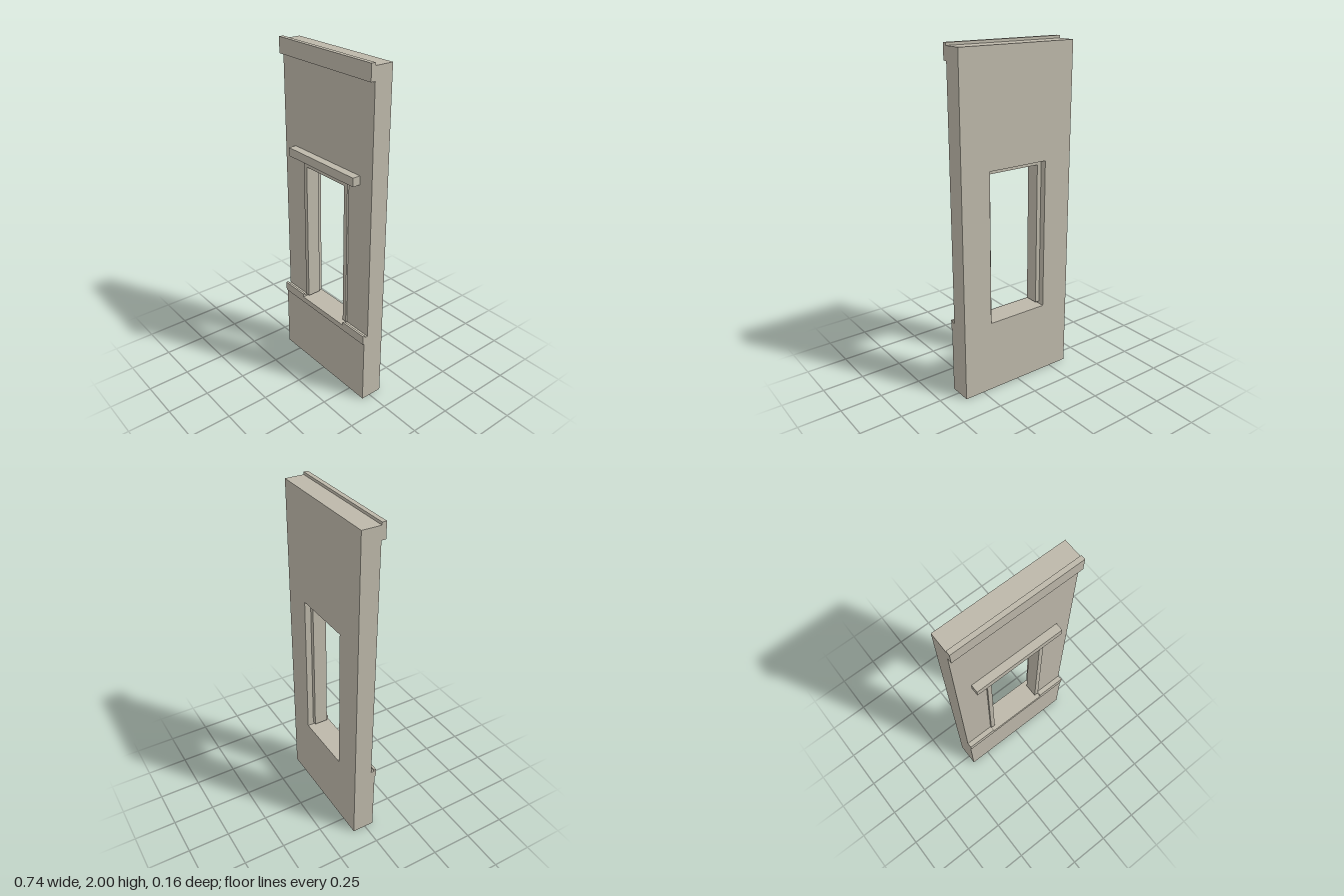
import * as THREE from 'three';

const HALF = 0.37;      // half width of the panel
const OPEN = 0.19;      // half width of the wall opening
const BACK = -0.08, FACE = 0.03;

export function createModel() {
  const group = new THREE.Group();
  const stone = new THREE.MeshStandardMaterial({ color: 0xbcb7a9 });
  stone.name = 'stone';

  const add = (name, geometry) => {
    const mesh = new THREE.Mesh(geometry, stone);
    mesh.name = name;
    group.add(mesh);
  };
  // Box given by its limits on each axis
  const block = (name, x0, x1, y0, y1, z0, z1) => {
    const g = new THREE.BoxGeometry(x1 - x0, y1 - y0, z1 - z0);
    g.translate((x0 + x1) / 2, (y0 + y1) / 2, (z0 + z1) / 2);
    add(name, g);
  };
  const rect = (target, x0, x1, y0, y1) => {
    target.moveTo(x0, y0).lineTo(x1, y0).lineTo(x1, y1).lineTo(x0, y1).closePath();
    return target;
  };

  // Wall slab with window opening
  const wall = rect(new THREE.Shape(), -HALF, HALF, 0, 1.985);
  wall.holes.push(rect(new THREE.Path(), -OPEN, OPEN, 0.435, 1.335));
  const slab = new THREE.ExtrudeGeometry(wall, { depth: FACE - BACK, bevelEnabled: false });
  slab.translate(0, 0, BACK);
  add('wall', slab);

  // Thicker base and horizontal mouldings
  block('plinth', -HALF, HALF, 0, 0.4, FACE, 0.055);
  block('cornice', -HALF, HALF, 1.91, 2, FACE, 0.056);
  block('lintel', -0.277, 0.277, 1.35, 1.4, FACE, 0.077);
  block('sill', -OPEN, OPEN, 0.4, 0.435, FACE, 0.063);

  // Sill band with raised front lip, and window jamb, on each side
  for (const s of [-1, 1]) {
    const side = s > 0 ? 'left' : 'right';
    const span = (a, b) => (s > 0 ? [a, b] : [-b, -a]);
    block(side + 'SillBand', ...span(OPEN, HALF), 0.4, 0.445, FACE, 0.05);
    block(side + 'SillLip', ...span(OPEN, HALF), 0.4, 0.455, 0.05, 0.063);
    block(side + 'Jamb', ...span(0.163, OPEN), 0.45, 1.335, -0.043, 0.04);
  }

  // Window head between the jambs
  block('windowHead', -0.163, 0.163, 1.308, 1.335, -0.043, 0.04);

  return group;
}
